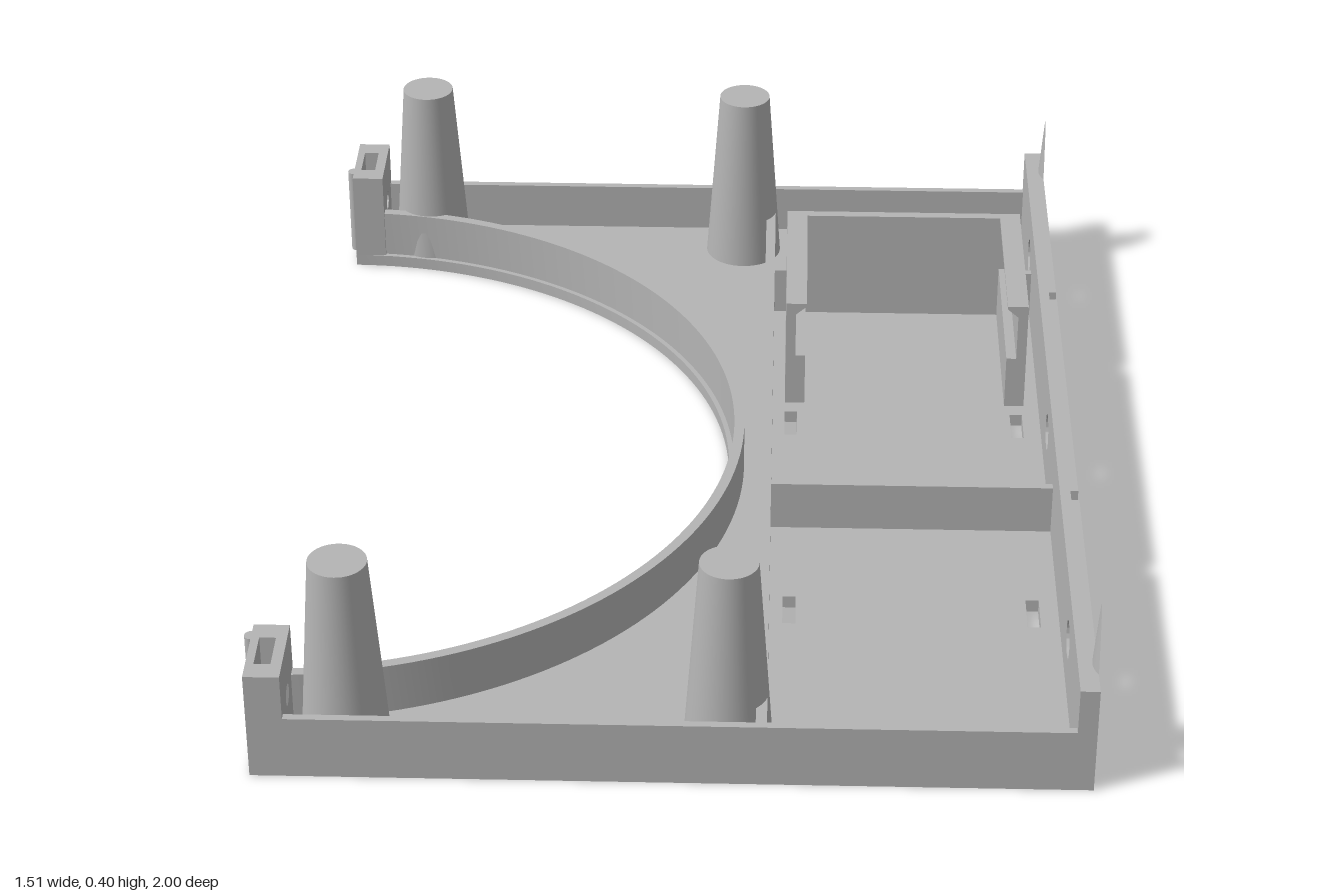
import * as THREE from 'three';
import { toCreasedNormals } from 'three/addons/utils/BufferGeometryUtils.js';
import { ConvexGeometry } from 'three/addons/geometries/ConvexGeometry.js';

const FLOOR = 0.025, LOW = 0.125, HIGH = 0.215;
const LEFT = -0.745, RIGHT = 0.755, ARC_X = -0.75;

export function createModel() {
  const root = new THREE.Group();
  root.name = 'mountingTray';
  const grey = new THREE.MeshStandardMaterial({ color: 0xb4b4b4 });
  grey.name = 'plastic grey';

  const add = (name, geometry) => {
    const mesh = new THREE.Mesh(geometry, grey);
    mesh.name = name;
    root.add(mesh);
    return mesh;
  };
  const box = (name, x0, x1, y0, y1, z0, z1) =>
    add(name, new THREE.BoxGeometry(x1 - x0, y1 - y0, z1 - z0)
      .translate((x0 + x1) / 2, (y0 + y1) / 2, (z0 + z1) / 2));
  const extrude = (shape, depth) => new THREE.ExtrudeGeometry(shape, { depth, bevelEnabled: false, curveSegments: 48 });
  const poly = pts => new THREE.Shape(pts.map(p => new THREE.Vector2(p[0], p[1])));
  // shape drawn in (x, -z), raised from y0 to y1
  const raise = (name, shape, y0, y1) =>
    add(name, toCreasedNormals(extrude(shape, y1 - y0).rotateX(-Math.PI / 2).translate(0, y0, 0), 0.4));
  // shape drawn in (-z, y), running from x0 to x1
  const across = (name, shape, x0, x1) =>
    add(name, toCreasedNormals(extrude(shape, x1 - x0).rotateY(Math.PI / 2).translate(x0, 0, 0), 0.4));
  const roundHole = (shape, a, b, r) => shape.holes.push(new THREE.Path().absarc(a, b, r, 0, Math.PI * 2, true));
  const slotHole = (shape, a0, a1, b0, b1) => shape.holes.push(new THREE.Path(
    [[a0, b0], [a0, b1], [a1, b1], [a1, b0]].map(p => new THREE.Vector2(p[0], p[1]))));

  // Floor with round bite, cable-tie slots and post recesses
  const posts = [[-0.58, -0.91], [-0.58, 0.905], [0.105, -0.895], [0.105, 0.89]];
  const floor = new THREE.Shape();
  floor.moveTo(LEFT, -0.84);
  floor.lineTo(LEFT, -1);
  floor.lineTo(RIGHT, -1);
  floor.lineTo(RIGHT, 1);
  floor.lineTo(LEFT, 1);
  const a0 = Math.acos((LEFT - ARC_X) / 0.84);
  floor.absarc(ARC_X, 0, 0.84, a0, -a0, true);
  for (const [x, z] of posts) roundHole(floor, x, -z, 0.053);
  for (const x of [0.2, 0.66])
    for (const z of [-0.215, 0.45]) slotHole(floor, x, x + 0.025, -z - 0.088, -z);
  raise('floor', floor, 0, FLOOR);

  // Curved rim around the bite
  const rim = new THREE.Shape();
  const a1 = Math.acos((LEFT - ARC_X) / 0.87);
  rim.absarc(ARC_X, 0, 0.87, -a1, a1, false);
  rim.absarc(ARC_X, 0, 0.85, a1, -a1, true);
  raise('curvedRim', rim, FLOOR, LOW);

  // Low walls and dividers
  box('frontWall', LEFT, 0.72, FLOOR, LOW, 0.985, 1);
  box('backWall', LEFT, 0.72, FLOOR, LOW, -1, -0.985);
  box('longDivider', 0.155, 0.175, FLOOR, LOW, -0.985, 0.985);
  box('frontDivider', 0.175, 0.72, FLOOR, LOW, 0.198, 0.213);
  box('backDivider', 0.175, 0.72, FLOOR, LOW, -0.637, -0.622);

  // Tall side wall: outer skin with grooves, inner skin with wider screw seats
  const outer = poly([[-1, FLOOR], [1, FLOOR], [1, HIGH],
    [0.39, HIGH], [0.39, FLOOR + 0.002], [0.36, FLOOR + 0.002], [0.36, HIGH],
    [-0.36, HIGH], [-0.36, FLOOR + 0.002], [-0.39, FLOOR + 0.002], [-0.39, HIGH], [-1, HIGH]]);
  const inner = poly([[-1, FLOOR], [1, FLOOR], [1, HIGH], [-1, HIGH]]);
  for (const z of [-0.71, 0, 0.71]) {
    roundHole(outer, z, 0.12, 0.02);
    roundHole(inner, z, 0.12, 0.036);
  }
  across('tallWallOuter', outer, 0.74, RIGHT);
  across('tallWallInner', inner, 0.72, 0.74);

  // Tapered posts
  for (const [x, z] of posts)
    add('post', new THREE.CylinderGeometry(0.053, 0.081, 0.385, 48).translate(x, 0.2075, z));

  // Slivers of tapered posts cut off flush with the tall wall
  const cx = 0.812, d = cx - RIGHT;
  for (const z of [-0.915, 0.915]) {
    const pts = [];
    for (let i = 0; i <= 10; i++) {
      const y = 0.2 + 0.145 * i / 10;
      const r = 0.0821 - 0.0729 * y;
      const half = Math.acos(Math.min(1, d / r));
      for (let j = -6; j <= 6; j++) {
        const a = half * j / 6;
        pts.push(new THREE.Vector3(cx - r * Math.cos(a), y, z + r * Math.sin(a)));
      }
    }
    add('postSliver', new ConvexGeometry(pts));
  }

  // End blocks with screw hole, nut pocket and half-round key
  for (const s of [-1, 1]) {
    const z = a => -s * a;
    const plate = () => {
      const p = poly([[z(0.84), FLOOR], [z(1), FLOOR], [z(1), HIGH], [z(0.84), HIGH]]);
      roundHole(p, z(0.92), 0.12, 0.02);
      return p;
    };
    across('endBlockOuter', plate(), LEFT, -0.73);
    across('endBlockInner', plate(), -0.7, -0.68);
    across('endBlockPocket', poly([[z(0.84), FLOOR], [z(1), FLOOR], [z(1), HIGH], [z(0.96), HIGH],
      [z(0.96), 0.08], [z(0.88), 0.08], [z(0.88), HIGH], [z(0.84), HIGH]]), -0.73, -0.7);
    add('key', new THREE.CylinderGeometry(0.013, 0.013, HIGH - FLOOR, 20)
      .translate(LEFT, (HIGH + FLOOR) / 2, s * 0.873));
  }

  // Slide-in holder: back plate and two mirrored channel arms
  const top = 0.26, mid = 0.445;
  box('holderBack', 0.2, 0.69, FLOOR, top, -0.64, -0.62);
  for (const s of [-1, 1]) {
    const x = v => mid + s * v;
    const arm = poly([[x(0.245), FLOOR], [x(0.205), FLOOR], [x(0.205), 0.138], [x(0.225), 0.138],
      [x(0.225), 0.235], [x(0.203), top - 0.006], [x(0.203), top], [x(0.245), top]]);
    add('holderArm', extrude(arm, 0.37).translate(0, 0, -0.62));
  }

  return root;
}
